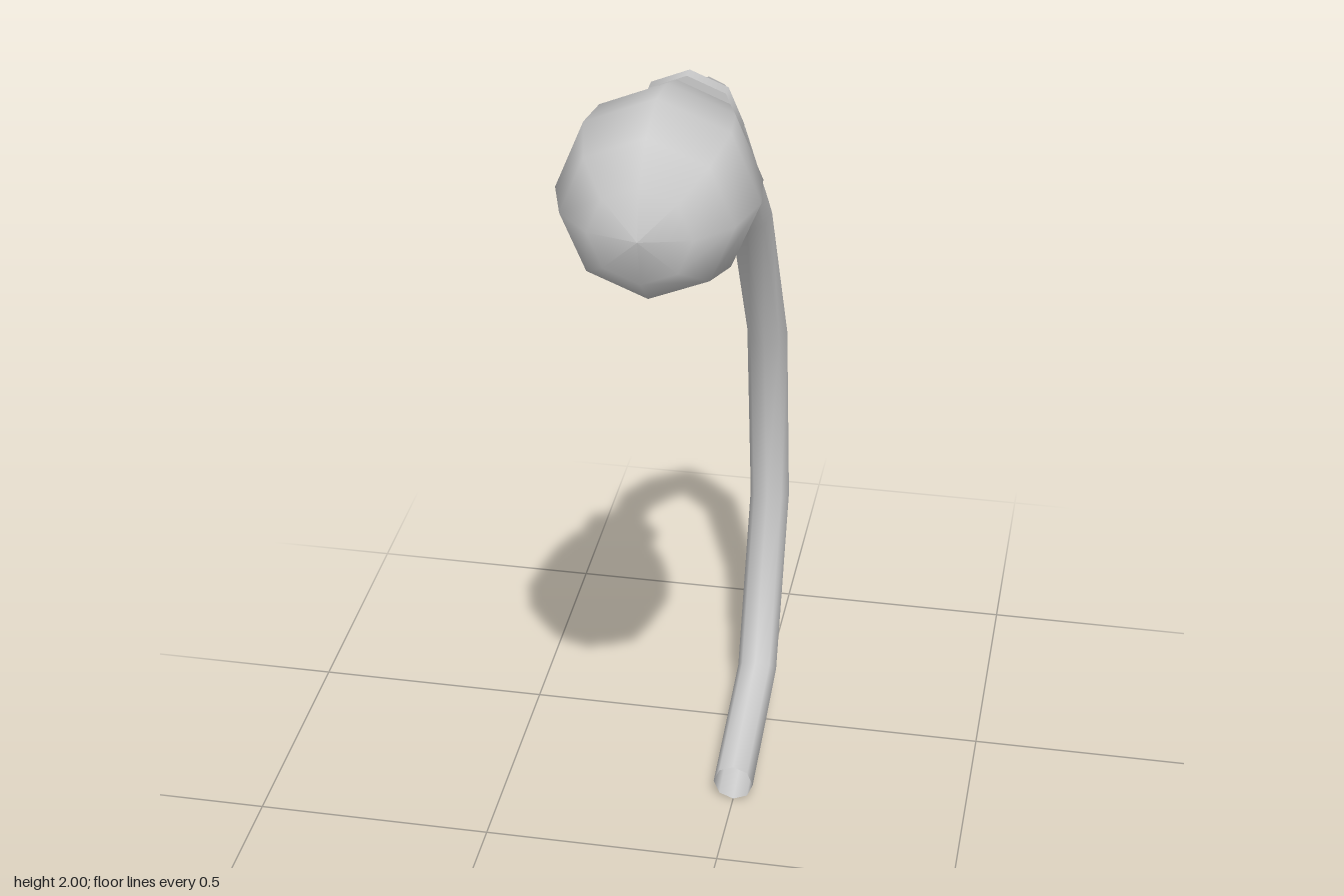
import * as THREE from 'three';

const SIDES = 8;

// Eight-sided pipe through a path in the yz plane, one ring per bend.
function bentPipe(path, radius) {
  const points = path.map(([z, y]) => new THREE.Vector3(0, y, z));
  const across = new THREE.Vector3(1, 0, 0);
  const last = points.length - 1;
  const heading = (i) => points[i + 1].clone().sub(points[i]).normalize();
  const position = [];
  const index = [];
  points.forEach((p, i) => {
    // both ends are cut square to z, bends follow the bisector
    const tangent = new THREE.Vector3(0, 0, i === 0 ? -1 : 1);
    if (i > 0 && i < last) tangent.copy(heading(i - 1)).add(heading(i)).normalize();
    const up = tangent.clone().cross(across);
    for (let j = 0; j < SIDES; j++) {
      const a = (j / SIDES) * Math.PI * 2;
      const v = p.clone()
        .addScaledVector(across, radius * Math.cos(a))
        .addScaledVector(up, radius * Math.sin(a));
      position.push(v.x, v.y, v.z);
      if (i < last) {
        const k = (j + 1) % SIDES;
        const r0 = i * SIDES, r1 = r0 + SIDES;
        index.push(r0 + j, r0 + k, r1 + k, r0 + j, r1 + k, r1 + j);
      }
    }
  });
  const geometry = new THREE.BufferGeometry();
  geometry.setAttribute('position', new THREE.Float32BufferAttribute(position, 3));
  geometry.setIndex(index);
  geometry.computeVertexNormals();
  return geometry;
}

export function createModel() {
  const group = new THREE.Group();
  const material = new THREE.MeshStandardMaterial({ color: 0xcccccc });
  const openMaterial = new THREE.MeshStandardMaterial({ color: 0xcccccc, side: THREE.DoubleSide });
  const add = (name, geometry, mat = material) => {
    const mesh = new THREE.Mesh(geometry, mat);
    mesh.name = name;
    group.add(mesh);
    return mesh;
  };
  const axisY = 1.832;

  // Curved stem, open at its foot (z, y)
  add('stem', bentPipe([
    [-0.205, 0.043], [-0.521, 0.127], [-0.677, 0.495], [-0.616, 0.94],
    [-0.386, 1.338], [-0.116, 1.613], [0.096, 1.794], [0.27, 1.835],
  ], 0.043), openMaterial);

  // Thin collar where the stem meets the bulb
  const collar = new THREE.CylinderGeometry(0.094, 0.094, 0.026, SIDES).rotateX(Math.PI / 2);
  add('collar', collar).position.set(0, axisY, 0.272);

  // Pear-shaped bulb, turned around z (radius, z)
  const profile = [
    [0.058, 0.272], [0.082, 0.305], [0.126, 0.373], [0.159, 0.46], [0.17, 0.545],
    [0.143, 0.635], [0.086, 0.694], [0, 0.715],
  ].map(([r, z]) => new THREE.Vector2(r, z));
  const bulb = new THREE.LatheGeometry(profile, SIDES).rotateX(Math.PI / 2);
  add('bulb', bulb).position.y = axisY;

  return group;
}
